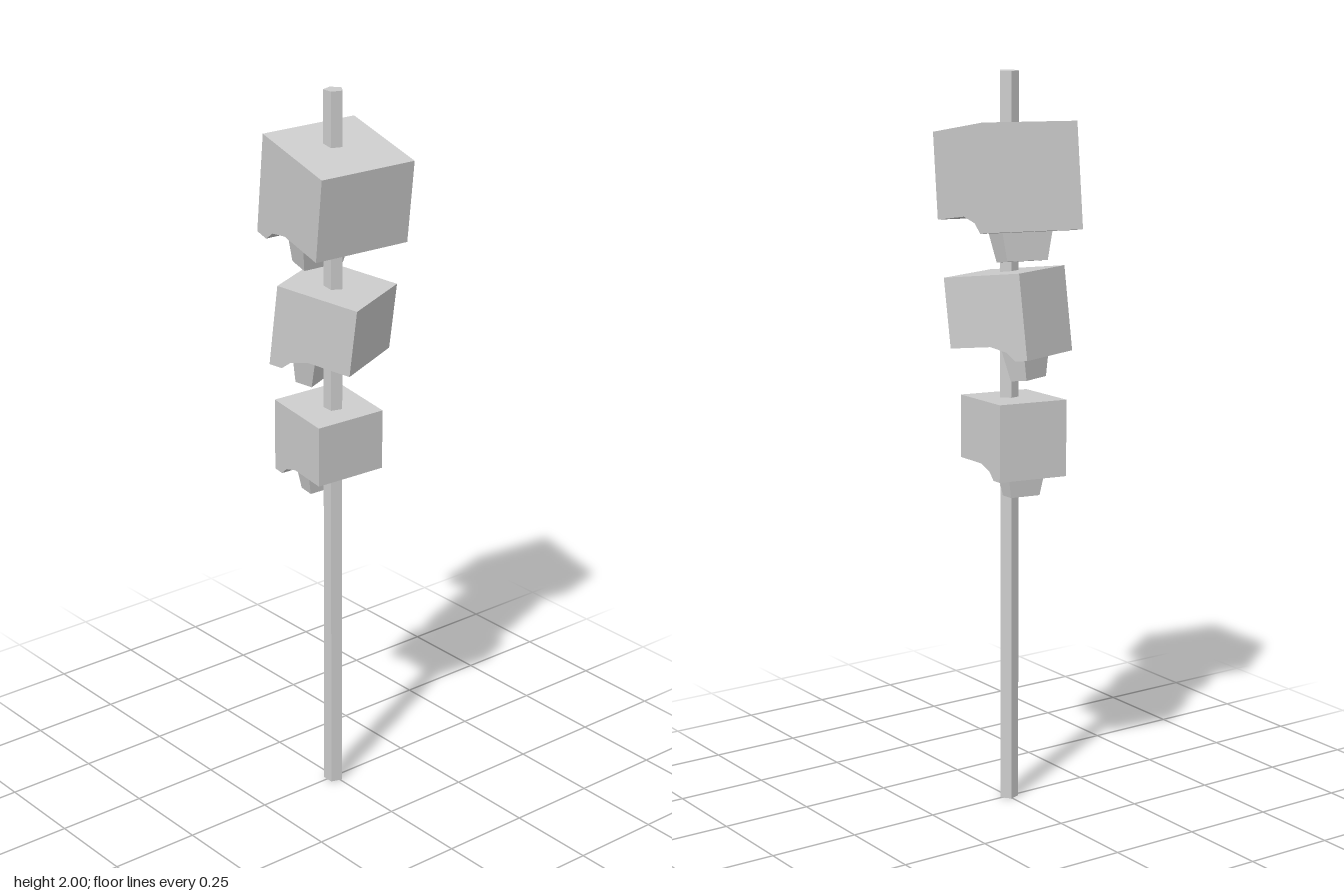
import * as THREE from 'three';

const material = new THREE.MeshStandardMaterial({ color: 0xcccccc, flatShading: true });

// Side profile of a head, origin at the middle of its top; the face looks to -x
const PROFILE = [
  [-0.146, 0], [-0.146, -0.281], [-0.1, -0.281], [-0.07, -0.252],
  [-0.01, -0.232], [0.146, -0.232], [0.146, 0],
];
const WIDTH = 0.276;

function part(name, geometry) {
  const mesh = new THREE.Mesh(geometry, material);
  mesh.name = name;
  return mesh;
}

// Box whose lower end is narrowed
function taperedBox(w, h, d, taperX, taperZ) {
  const geometry = new THREE.BoxGeometry(w, h, d);
  const p = geometry.attributes.position;
  for (let i = 0; i < p.count; i++) {
    if (p.getY(i) < 0) {
      p.setX(i, p.getX(i) * taperX);
      p.setZ(i, p.getZ(i) * taperZ);
    }
  }
  geometry.computeVertexNormals();
  return geometry;
}

function createHead(name, size, position, rotation) {
  const head = new THREE.Group();
  head.name = name;

  // Cranium with the lower upper-jaw edge at the face
  const shape = new THREE.Shape(PROFILE.map(([x, y]) => new THREE.Vector2(x, y)));
  const cranium = new THREE.ExtrudeGeometry(shape, { depth: WIDTH, bevelEnabled: false });
  cranium.translate(0, 0, -WIDTH / 2);
  head.add(part('cranium', cranium));

  // Narrowing lower jaw
  const jaw = part('jaw', taperedBox(0.09, 0.125, 0.165, 0.68, 0.72));
  jaw.position.set(-0.052, -0.2925, 0.004);
  head.add(jaw);

  head.scale.setScalar(size);
  head.position.set(...position);
  head.rotation.set(...rotation, 'YXZ');
  return head;
}

export function createModel() {
  const model = new THREE.Group();
  model.name = 'headsOnPole';

  // Five-sided pole
  const pole = part('pole', new THREE.CylinderGeometry(0.027, 0.027, 2, 5));
  pole.rotation.y = Math.PI;
  pole.position.set(0.003, 1, 0.004);
  model.add(pole);

  // Stacked heads, each tilted its own way
  model.add(
    createHead('topHead', 1, [0.0235, 1.853, 0.0055], [0.03, -0.135, -0.175]),
    createHead('middleHead', 0.81, [0.002, 1.473, -0.01], [0.035, 0.385, -0.134]),
    createHead('bottomHead', 0.735, [-0.014, 1.134, 0.008], [0.03, -0.1, -0.05]),
  );
  return model;
}
